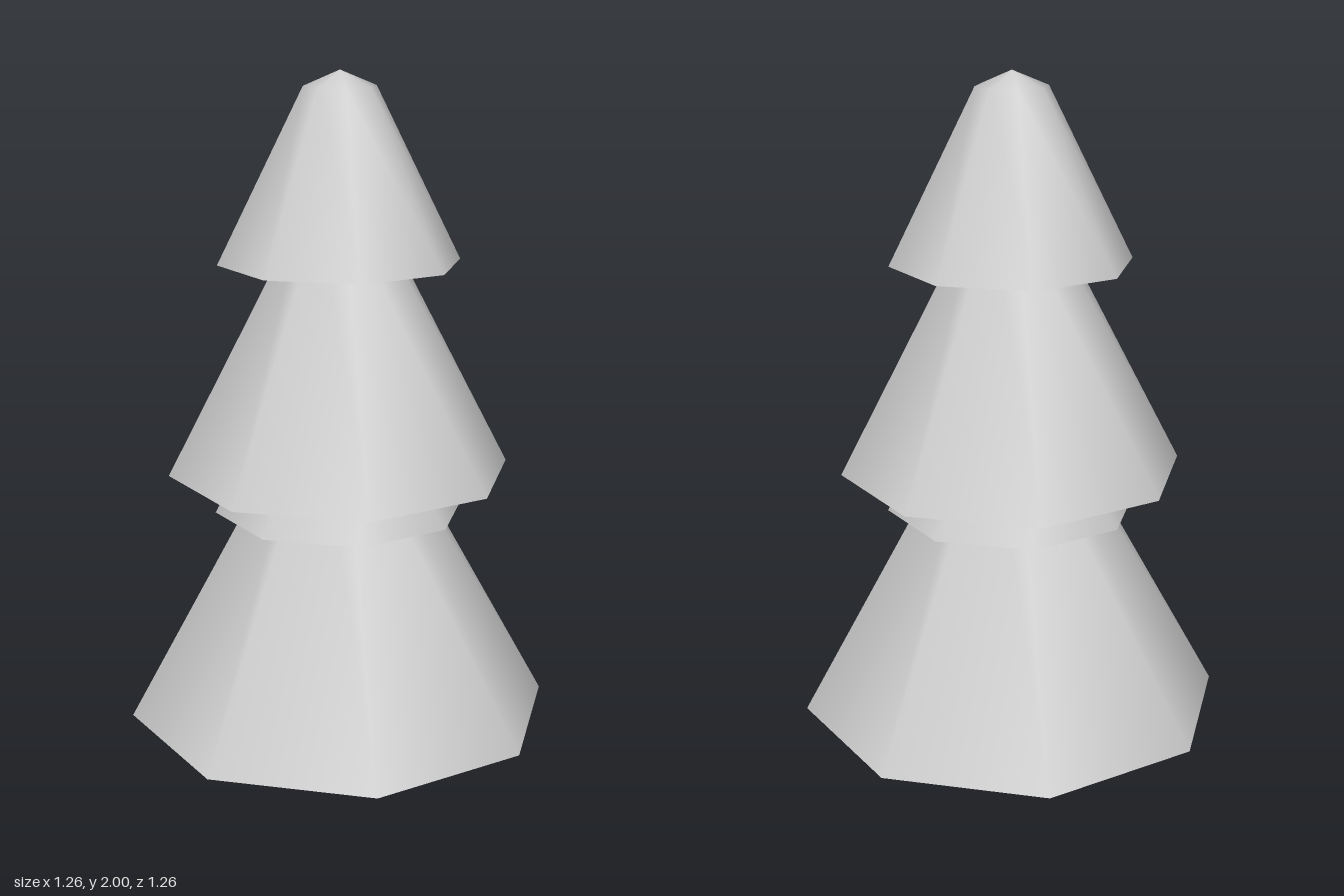
import * as THREE from 'three';

const SIDES = 8;
const TURN = THREE.MathUtils.degToRad(15);
const TIP_RADIUS = 0.108;
const TIP_RISE = 0.045;

// Open-bottomed eight-sided shells: rim radius, rim height, shoulder height
const TIERS = [
  ['lowerTierLining', 0.56, 0, 0.82],
  ['lowerTier', 0.653, 0.03, 1.02],
  ['middleTierLining', 0.383, 0.68, 1.18],
  ['middleTier', 0.522, 0.803, 1.6],
  ['topTier', 0.365, 1.44, 1.955],
];

export function createModel() {
  const tree = new THREE.Group();
  tree.name = 'tree';
  const material = new THREE.MeshStandardMaterial({ color: 0xcccccc, side: THREE.DoubleSide });

  for (const [name, radius, rimY, shoulderY] of TIERS) {
    // Sloping skirt closed by a shallow tip
    const profile = [
      new THREE.Vector2(radius, rimY),
      new THREE.Vector2(TIP_RADIUS, shoulderY),
      new THREE.Vector2(0, shoulderY + TIP_RISE),
    ];
    const tier = new THREE.Mesh(new THREE.LatheGeometry(profile, SIDES, TURN), material);
    tier.name = name;
    tree.add(tier);
  }
  return tree;
}
